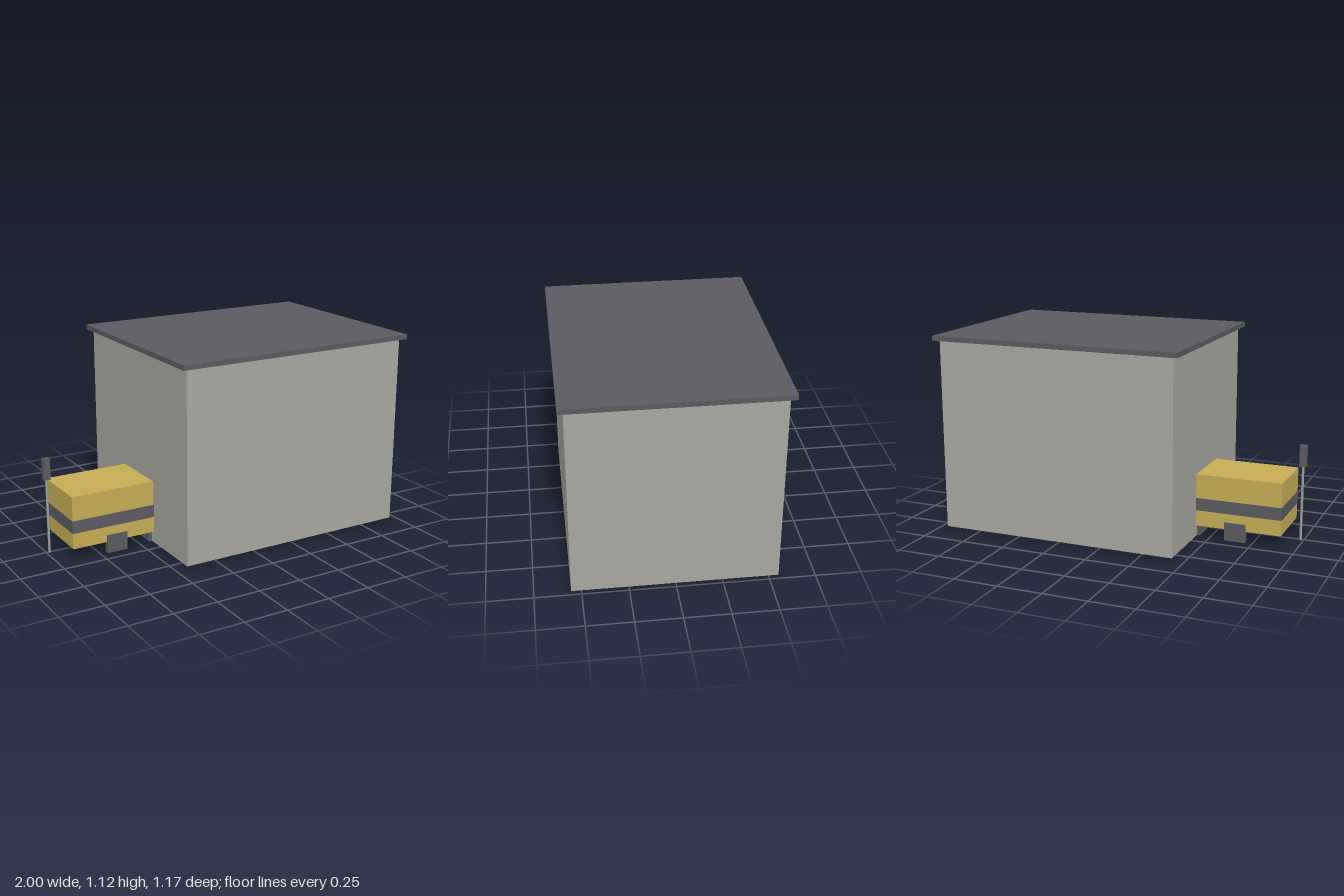
import * as THREE from 'three';

const material = (name, color) => {
  const m = new THREE.MeshStandardMaterial({ color });
  m.name = name;
  return m;
};

export function createModel() {
  const model = new THREE.Group();
  const wall = material('warm grey wall', 0xa9a69f);
  const dark = material('dark grey', 0x5b5a60);
  const yellow = material('mustard yellow', 0xc5ac54);
  const metal = material('light grey metal', 0xa09f9f);

  // Box given by its lower and upper limits on each axis
  const box = (name, mat, [x0, x1], [y0, y1], [z0, z1], parent = model) => {
    const mesh = new THREE.Mesh(new THREE.BoxGeometry(x1 - x0, y1 - y0, z1 - z0), mat);
    mesh.position.set((x0 + x1) / 2, (y0 + y1) / 2, (z0 + z1) / 2);
    mesh.name = name;
    parent.add(mesh);
    return mesh;
  };

  // Shed with flat overhanging roof and a low door plate behind the wagon
  const shed = new THREE.Group();
  shed.name = 'shed';
  model.add(shed);
  box('shedWalls', wall, [-0.42, 0.97], [0, 1.09], [-0.555, 0.555], shed);
  box('shedRoof', dark, [-0.452, 1], [1.09, 1.118], [-0.585, 0.585], shed);
  box('shedDoor', dark, [-0.438, -0.42], [0, 0.33], [-0.15, 0.15], shed);

  // Wagon half parked inside the shed
  const wagon = new THREE.Group();
  wagon.name = 'wagon';
  model.add(wagon);
  box('wagonBody', yellow, [-0.912, 0.61], [0.065, 0.365], [-0.175, 0.175], wagon);
  box('wagonStripe', dark, [-0.914, 0.612], [0.155, 0.227], [-0.177, 0.177], wagon);
  box('chassisBar', metal, [-0.67, 0.37], [0.022, 0.066], [-0.018, 0.018], wagon);
  for (const x of [-0.65, 0.35]) {
    const end = x + Math.sign(x) * 0.03;
    box('chassisEnd', dark, [end - 0.012, end + 0.012], [0.005, 0.066], [-0.02, 0.02], wagon);
    for (const side of [-1, 1]) {
      const z = side * 0.166;
      box('wheelBlock', dark, [x - 0.061, x + 0.061], [0, 0.105], [z - 0.014, z + 0.014], wagon);
    }
  }

  // Signal post beside the wagon's end
  const signal = new THREE.Group();
  signal.name = 'signal';
  model.add(signal);
  const post = new THREE.Mesh(new THREE.CylinderGeometry(0.007, 0.007, 0.43, 10), metal);
  post.position.set(-0.981, 0.215, 0);
  post.name = 'signalPost';
  signal.add(post);
  box('signalHead', dark, [-1, -0.962], [0.425, 0.546], [-0.016, 0.016], signal);

  return model;
}
